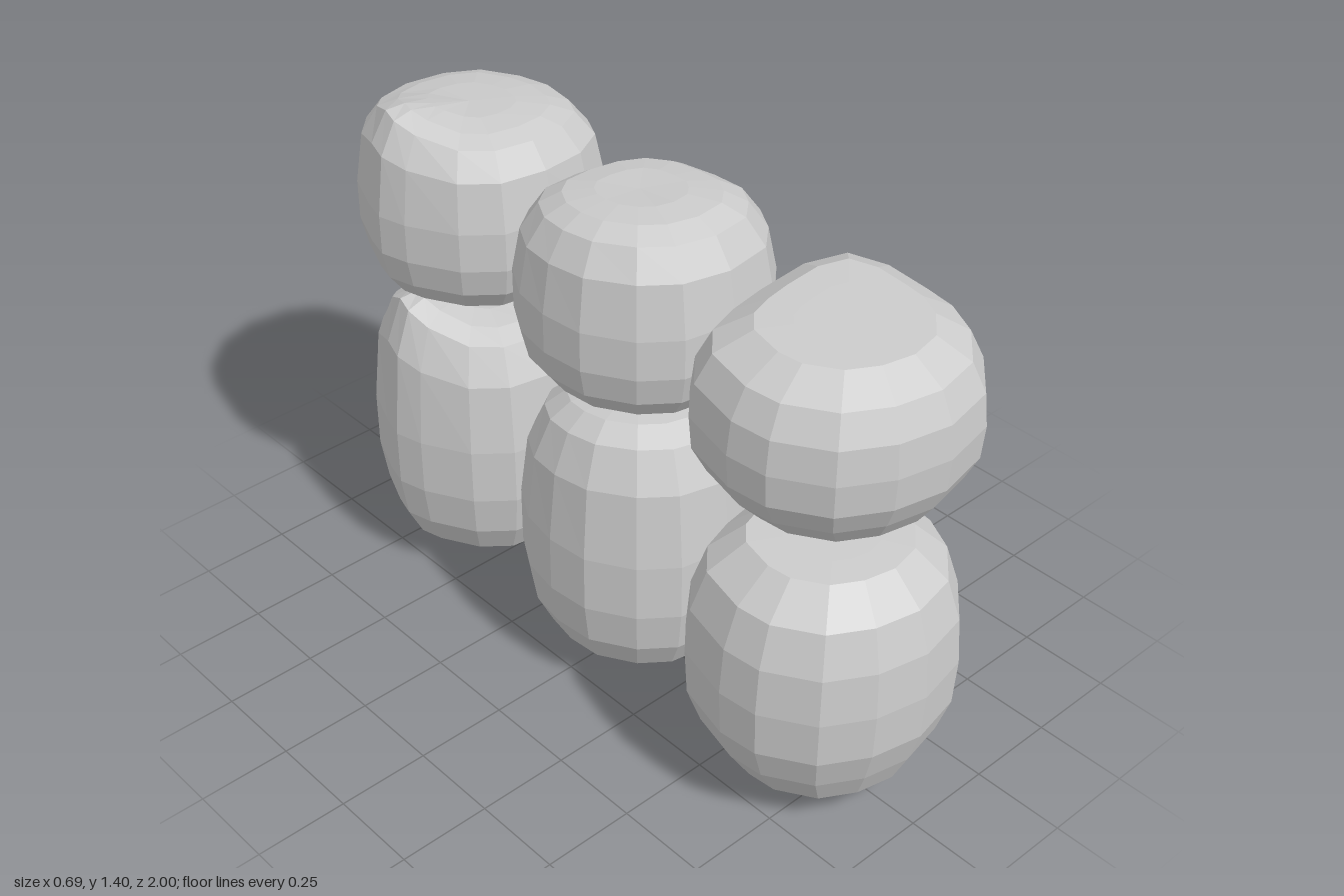
import * as THREE from 'three';

const material = new THREE.MeshStandardMaterial({ color: 0xcccccc, flatShading: true, side: THREE.DoubleSide });

// Loft a stone: plan outline [x, z] scaled about (0, cz) by rings of [y, scale, zShift];
// warp returns the extra height at a point.
function stoneGeometry({ outline, cz, rings, warp }) {
  const n = outline.length, positions = [], index = [];
  rings.forEach(([y, s, shift = 0]) => {
    for (const [ox, oz] of outline) {
      const x = ox * s, z = cz + (oz - cz) * s + shift;
      positions.push(x, y + warp(x, y, z), z);
    }
  });
  for (let i = 0; i < rings.length - 1; i++) {
    for (let j = 0; j < n; j++) {
      const k = (j + 1) % n;
      const a = i * n + j, b = i * n + k, c = a + n, d = b + n;
      if (i < rings.length - 2) index.push(a, c, d);
      if (i > 0) index.push(a, d, b);
      if (i === 0) index.push(a, c, d);
      if (i === rings.length - 2) index.push(a, d, b);
    }
  }
  const g = new THREE.BufferGeometry();
  g.setAttribute('position', new THREE.Float32BufferAttribute(positions, 3));
  g.setIndex(index);
  g.computeVertexNormals();
  return g;
}

// 0 on the lower body, rising to 1 at the crown
const crown = (y) => THREE.MathUtils.smoothstep(y, 0.45, 0.72);

const flatBase = [[0.055, 0], [0.055, 0.55], [0.1, 0.8], [0.19, 0.94], [0.31, 1], [0.47, 1]];

const stones = {
  // pointed underside, level top
  front: {
    cz: 0.68,
    outline: [[0, 0.365], [0.18, 0.35], [0.31, 0.39], [0.345, 0.51], [0.33, 0.66], [0.315, 0.76],
      [0.26, 0.87], [0.15, 0.97], [0, 1], [-0.14, 0.97], [-0.26, 0.9], [-0.34, 0.77],
      [-0.35, 0.66], [-0.31, 0.5], [-0.23, 0.42], [-0.12, 0.385]],
    rings: [[0, 0, 0.02], [0.025, 0.35, 0.02], [0.1, 0.72, 0.01], [0.19, 0.88], [0.29, 0.98], [0.42, 1],
      [0.55, 0.97], [0.66, 0.86], [0.735, 0.6], [0.737, 0.35], [0.737, 0]],
    warp: () => 0,
  },
  // flat base, gently tilted crown
  middle: {
    cz: 0,
    outline: [[0, -0.3], [0.14, -0.29], [0.25, -0.24], [0.31, -0.14], [0.32, 0], [0.31, 0.13],
      [0.25, 0.22], [0.16, 0.3], [0, 0.335], [-0.14, 0.31], [-0.23, 0.24], [-0.3, 0.12],
      [-0.31, 0], [-0.29, -0.11], [-0.23, -0.21], [-0.14, -0.28]],
    rings: [...flatBase, [0.64, 0.93], [0.745, 0.78], [0.79, 0.6], [0.805, 0.35], [0.8, 0]],
    warp: (x, y, z) => crown(y) * (0.12 * z - 0.11 * x),
  },
  // flat base, raised shoulder on one side
  back: {
    cz: -0.65,
    outline: [[0, -1], [0.15, -0.985], [0.26, -0.92], [0.32, -0.78], [0.335, -0.65], [0.3, -0.5],
      [0.25, -0.41], [0.14, -0.345], [0, -0.325], [-0.14, -0.345], [-0.23, -0.42], [-0.3, -0.55],
      [-0.32, -0.63], [-0.3, -0.7], [-0.25, -0.82], [-0.14, -0.95]],
    rings: [...flatBase, [0.64, 0.93], [0.735, 0.78], [0.765, 0.6], [0.78, 0.35], [0.78, 0]],
    warp: (x, y, z) => {
      const d2 = (x + 0.25) ** 2 + (z + 0.69) ** 2;
      return crown(y) * (0.1 * Math.exp(-d2 / 0.02) + 0.1 * (z + 0.65) - 0.05 * x);
    },
  },
};

export function createModel() {
  const group = new THREE.Group();
  group.name = 'stoneStacks';
  for (const [place, spec] of Object.entries(stones)) {
    const geometry = stoneGeometry(spec);
    const lower = new THREE.Mesh(geometry, material);
    lower.name = `${place}LowerStone`;
    // the upper stone is a squashed copy of the lower one
    const upper = new THREE.Mesh(geometry, material);
    upper.name = `${place}UpperStone`;
    upper.scale.y = 0.67;
    upper.position.y = 0.833;
    group.add(lower, upper);
  }
  return group;
}
